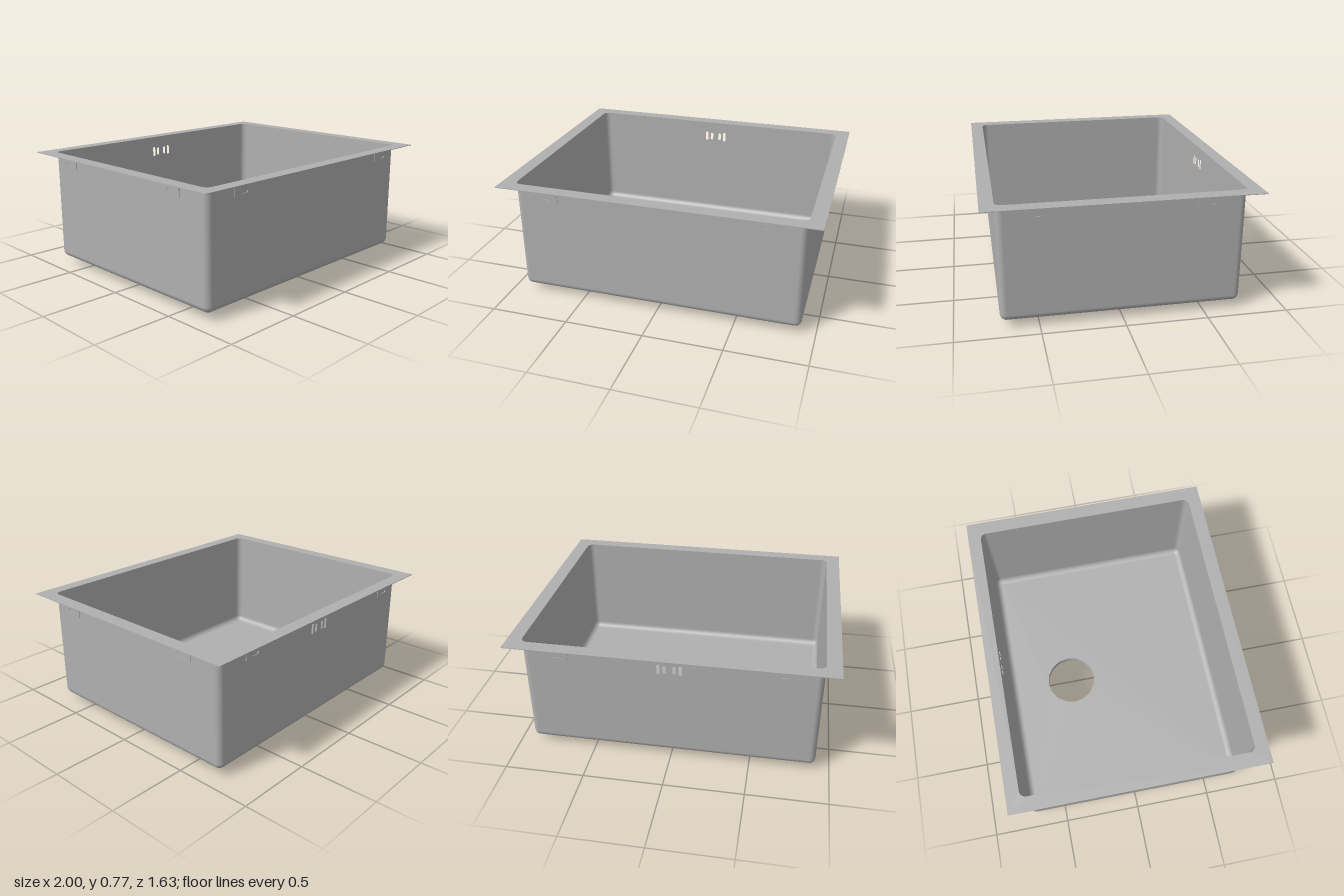
import * as THREE from 'three';

const TOP = 0.767, FLOOR = 0.045, R = 0.04;
const HX = 0.91, HZ = 0.73; // basin half sizes
const DRAIN_Z = -0.295, DRAIN_R = 0.17;
const STEPS = 6;

const steel = new THREE.MeshStandardMaterial({ color: 0xb0b0b0, side: THREE.DoubleSide });
steel.name = 'brushed steel';

function add(parent, name, geometry) {
  const mesh = new THREE.Mesh(geometry, steel);
  mesh.name = name;
  parent.add(mesh);
  return mesh;
}

// Rectangle outline, optionally with rounded corners
function rect(target, hx, hy, r = 0, cx = 0, cy = 0) {
  if (!r) {
    target.setFromPoints([[-1, -1], [1, -1], [1, 1], [-1, 1]].map(([x, y]) => new THREE.Vector2(cx + x * hx, cy + y * hy)));
    return target;
  }
  [[1, 1], [-1, 1], [-1, -1], [1, -1]].forEach(([sx, sy], i) =>
    target.absarc(cx + sx * (hx - r), cy + sy * (hy - r), r, i * Math.PI / 2, (i + 1) * Math.PI / 2, false));
  target.closePath();
  return target;
}

// Walls with rounded vertical corners and a rounded bottom edge; the back panel is left open
function basinWalls() {
  const pos = [], nor = [], idx = [];
  const rings = [{ y: TOP, t: 0 }];
  for (let i = 0; i <= STEPS; i++) rings.push({ y: FLOOR + R, t: i / STEPS * Math.PI / 2 });
  const corners = [[1, 1], [-1, 1], [-1, -1], [1, -1]];
  for (const { y, t } of rings) {
    corners.forEach(([sx, sz], c) => {
      for (let k = 0; k <= STEPS; k++) {
        const a = (c + k / STEPS) * Math.PI / 2;
        const n = [Math.cos(t) * Math.cos(a), -Math.sin(t), Math.cos(t) * Math.sin(a)];
        pos.push(sx * (HX - R) + R * n[0], y + R * n[1], sz * (HZ - R) + R * n[2]);
        nor.push(...n);
      }
    });
  }
  const count = 4 * (STEPS + 1);
  for (let i = 0; i < rings.length - 1; i++) {
    for (let j = 0; j < count; j++) {
      if (i === 0 && j === 3 * (STEPS + 1) - 1) continue;
      const k = (j + 1) % count;
      const a = i * count + j, b = i * count + k;
      idx.push(a, b, a + count, b, b + count, a + count);
    }
  }
  const g = new THREE.BufferGeometry();
  g.setAttribute('position', new THREE.Float32BufferAttribute(pos, 3));
  g.setAttribute('normal', new THREE.Float32BufferAttribute(nor, 3));
  g.setIndex(idx);
  return g;
}

// L-shaped mounting clip with an oblong slot
function mountingClip() {
  const clip = new THREE.Group();
  clip.name = 'mountingClip';
  const plate = rect(new THREE.Shape(), 0.0725, 0.035);
  const slot = [[-0.033, 0], [-0.02, -0.014], [0.02, -0.014], [0.033, 0], [0.02, 0.014], [-0.02, 0.014]];
  plate.holes.push(new THREE.Path(slot.map(([x, y]) => new THREE.Vector2(x, y - 0.008))));
  const front = add(clip, 'clipPlate', new THREE.ExtrudeGeometry(plate, { depth: 0.004, bevelEnabled: false }));
  front.position.set(0, -0.035, -0.004);
  add(clip, 'clipTab', new THREE.BoxGeometry(0.145, 0.004, 0.032)).position.set(0, -0.002, -0.018);
  return clip;
}

export function createModel() {
  const sink = new THREE.Group();
  sink.name = 'sink';

  // Flat rim around the opening
  const rimShape = rect(new THREE.Shape(), 1, 0.815);
  rimShape.holes.push(rect(new THREE.Path(), HX, HZ, R));
  const rim = new THREE.ExtrudeGeometry(rimShape, { depth: 0.004, bevelEnabled: false, curveSegments: STEPS });
  add(sink, 'rim', rim.rotateX(-Math.PI / 2)).position.y = TOP - 0.001;

  add(sink, 'basinWalls', basinWalls());

  // Back panel with overflow slots
  const back = rect(new THREE.Shape(), HX - R, (TOP - FLOOR - R) / 2, 0, 0, (TOP + FLOOR + R) / 2);
  for (const [x, h] of [[-0.067, 0.034], [-0.03, 0.027], [0.03, 0.027], [0.067, 0.034]]) {
    back.holes.push(rect(new THREE.Path(), 0.01, h, 0.009, x, 0.66));
  }
  add(sink, 'backWall', new THREE.ShapeGeometry(back, 4)).position.z = -HZ;

  // Floor with drain opening
  const floor = rect(new THREE.Shape(), HX - R, HZ - R);
  const hole = [];
  for (let i = 0; i < 16; i++) {
    const a = i / 16 * Math.PI * 2;
    hole.push(new THREE.Vector2(DRAIN_R * Math.cos(a), -DRAIN_Z + DRAIN_R * Math.sin(a)));
  }
  floor.holes.push(new THREE.Path(hole));
  add(sink, 'floor', new THREE.ShapeGeometry(floor).rotateX(-Math.PI / 2)).position.y = FLOOR;

  // Drain collar below the floor, each band with its own sharp edges
  const drain = new THREE.Group();
  drain.name = 'drain';
  drain.position.z = DRAIN_Z;
  const profile = [[DRAIN_R, FLOOR], [DRAIN_R, 0], [0.19, 0], [0.232, 0.018], [0.24, 0.026], [0.24, FLOOR]]
    .map(([r, y]) => new THREE.Vector2(r, y));
  for (let i = 0; i < profile.length - 1; i++) {
    add(drain, i ? 'drainCollar' : 'drainBore', new THREE.LatheGeometry([profile[i], profile[i + 1]], i < 2 ? 16 : 32));
  }
  sink.add(drain);

  // Two clips under the rim on every side
  for (let side = 0; side < 4; side++) {
    const [offset, distance] = side % 2 ? [0.49, 0.958] : [0.675, 0.779];
    const row = new THREE.Group();
    row.name = 'clipRow';
    row.rotation.y = side * Math.PI / 2;
    for (const s of [-1, 1]) {
      const clip = mountingClip();
      clip.position.set(s * offset, TOP - 0.001, distance);
      row.add(clip);
    }
    sink.add(row);
  }
  return sink;
}
